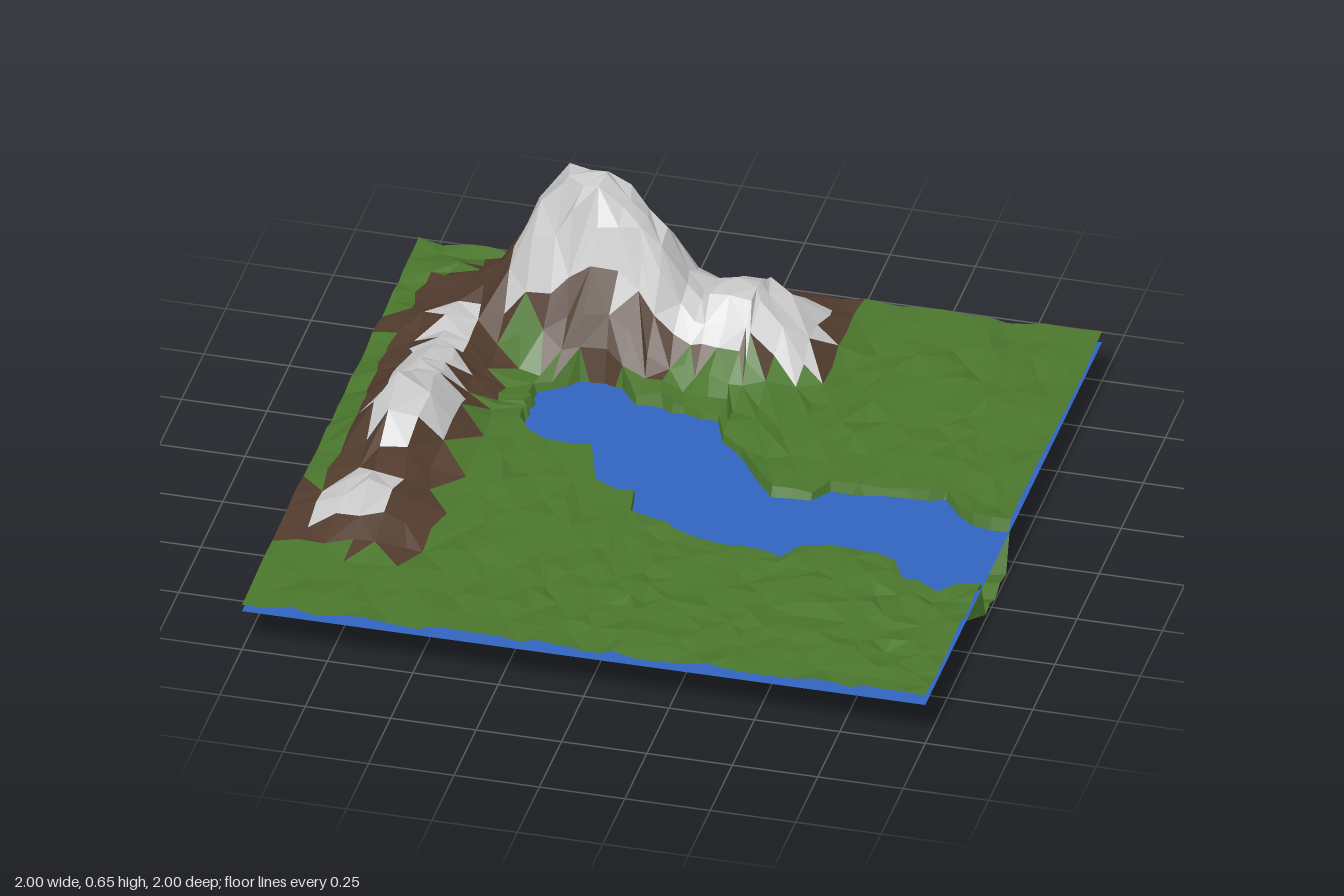
import * as THREE from 'three';

const GROUND = 0.165, WATER = 0.135, BED = 0.02;

// River columns: x, north shore z, south shore z
const river = [
  [-0.49, -0.31, -0.18], [-0.44, -0.35, -0.12], [-0.38, -0.42, -0.08], [-0.31, -0.43, -0.08],
  [-0.25, -0.42, -0.07], [-0.19, -0.34, 0.11], [-0.13, -0.33, 0.12], [-0.08, -0.32, 0.13],
  [-0.05, -0.32, 0.23], [0, -0.31, 0.25], [0.06, -0.3, 0.28], [0.09, -0.19, 0.3],
  [0.16, -0.13, 0.3], [0.24, -0.02, 0.31], [0.3, 0.05, 0.31], [0.36, 0.05, 0.33],
  [0.41, 0.04, 0.34], [0.46, -0.02, 0.28], [0.53, -0.03, 0.26], [0.61, -0.03, 0.25],
  [0.68, -0.04, 0.27], [0.73, -0.05, 0.3], [0.78, -0.05, 0.37], [0.83, 0.01, 0.39],
  [0.89, 0.05, 0.42], [0.94, 0.07, 0.4], [1, 0.06, 0.35],
];

// Mountain profiles: position, height above ground (or 0..1 for cross-sections)
const backRidge = [[-0.95, 0], [-0.8, 0.05], [-0.67, 0.14], [-0.6, 0.32], [-0.52, 0.49], [-0.36, 0.49],
  [-0.28, 0.4], [-0.2, 0.33], [-0.13, 0.2], [-0.1, 0.17], [0.08, 0.19], [0.15, 0.14], [0.22, 0.08], [0.3, 0.02], [0.35, 0]];
const backCross = [[-1, 0], [-0.95, 0.1], [-0.87, 0.45], [-0.8, 0.85], [-0.75, 1], [-0.63, 1], [-0.55, 0.55], [-0.46, 0.17], [-0.41, 0]];
const sideRidge = [[-0.95, 0], [-0.7, 0.06], [-0.55, 0.1], [-0.38, 0.09], [-0.25, 0.12], [-0.1, 0.165], [-0.02, 0.19],
  [0.07, 0.24], [0.12, 0.21], [0.2, 0.11], [0.3, 0.07], [0.45, 0.1], [0.5, 0.075], [0.58, 0.02], [0.66, 0]];
const sideCross = [[-1, 0], [-0.93, 0.15], [-0.85, 0.58], [-0.79, 1], [-0.73, 1], [-0.65, 0.4], [-0.6, 0.15], [-0.54, 0]];
const sideSnow = [[-0.58, 0.05], [-0.4, 0.07], [-0.2, 0.08], [0.03, 0.14], [0.1, 0.09], [0.22, 0.04]];

// Piecewise linear lookup
function sample(points, t) {
  if (t <= points[0][0]) return points[0][1];
  for (let i = 1; i < points.length; i++) {
    const [a, va] = points[i - 1], [b, vb] = points[i];
    if (t <= b) return va + (vb - va) * (t - a) / (b - a);
  }
  return points[points.length - 1][1];
}

let seed = 7;
function jitter(amount) {
  seed = (seed * 16807) % 2147483647;
  return (seed / 2147483647 * 2 - 1) * amount;
}

const mountainHeight = (x, z) => Math.max(
  sample(backRidge, x) * sample(backCross, z),
  sample(sideRidge, z) * sample(sideCross, x));

// Which surface covers a spot of the land
function surfaceAt(x, z) {
  const backSnow = x > -0.65 && x < 0.26 && z > -0.9 && z < -0.54;
  const spineSnow = z > -0.57 && z < 0.21 && Math.abs(x + 0.76) < sample(sideSnow, z);
  const frontSnow = z > 0.32 && z < 0.55 && x > -0.9 && x < -0.7;
  if (backSnow || spineSnow || frontSnow) return 'snow';
  const southEdge = x > -0.5 && x < -0.15 ? -0.42 : -0.49 - Math.max(0, x) * 0.2;
  const backRock = z < southEdge && x < 0.32 && x > -0.72 - (z + 1) * 0.6;
  const sideRock = z > -0.8 && z < 0.65 && x < -0.59 && x > (z > 0.35 ? -1 : -0.94);
  return backRock || sideRock ? 'rock' : 'grass';
}

// Grid of land points whose rows bend along the river banks
function landColumns() {
  const columns = [];
  for (let i = 0; i < 7; i++) columns.push([-1 + i * 0.073, -0.34 + i * 0.004, 0.02 - i * 0.025]);
  columns.push(...river);
  const northRows = 11, southRows = 11, bedParts = 4, bank = 0.025;
  return columns.map(([x, north, south]) => {
    const points = [];
    const add = (z, inBed) => {
      const edgeX = Math.abs(x) > 0.99, edgeZ = Math.abs(z) > 0.99;
      const isMiddle = !edgeX && x < -0.5;
      const px = edgeX ? x : x + jitter(isMiddle ? 0.014 : 0.009);
      const pz = edgeZ ? z : z + jitter(inBed ? 0.008 : 0.013);
      const carved = inBed && x > -0.46;
      const y = carved ? BED + jitter(0.013)
        : GROUND + mountainHeight(px, pz) * (1 + jitter(0.03)) + jitter(0.01);
      points.push(new THREE.Vector3(px, Math.max(0, y), pz));
    };
    const top = north - bank, bottom = south + bank;
    for (let j = 0; j <= northRows; j++) add(-1 + (top + 1) * j / northRows, false);
    for (let j = 0; j <= bedParts; j++) {
      add(THREE.MathUtils.lerp(north + bank, south - bank, j / bedParts), true);
    }
    for (let j = 0; j <= southRows; j++) add(bottom + (1 - bottom) * j / southRows, false);
    return points;
  });
}

export function createModel() {
  const group = new THREE.Group();
  const faces = { grass: [], rock: [], snow: [] };
  const colors = { grass: 0x4b772d, rock: 0x523c2e, snow: 0xcccccc };

  // Sort the land's triangles by surface
  const columns = landColumns();
  const addFace = (...corners) => {
    const x = (corners[0].x + corners[1].x + corners[2].x) / 3;
    const z = (corners[0].z + corners[1].z + corners[2].z) / 3;
    const target = faces[surfaceAt(x, z)];
    for (const p of corners) target.push(p.x, p.y, p.z);
  };
  for (let i = 0; i < columns.length - 1; i++) {
    for (let j = 0; j < columns[i].length - 1; j++) {
      const a = columns[i][j], b = columns[i][j + 1];
      const c = columns[i + 1][j + 1], d = columns[i + 1][j];
      if ((i + j) % 2) { addFace(a, b, d); addFace(b, c, d); }
      else { addFace(a, b, c); addFace(a, c, d); }
    }
  }

  // Grass land with riverbed, rocky slopes and snowy peaks
  for (const name of Object.keys(faces)) {
    const geometry = new THREE.BufferGeometry();
    geometry.setAttribute('position', new THREE.Float32BufferAttribute(faces[name], 3));
    geometry.computeVertexNormals();
    const mesh = new THREE.Mesh(geometry, new THREE.MeshStandardMaterial({
      color: colors[name], flatShading: true, side: THREE.DoubleSide,
    }));
    mesh.name = name;
    group.add(mesh);
  }

  // Water sheet under the whole land, showing in the river
  const water = new THREE.Mesh(
    new THREE.PlaneGeometry(2, 2).rotateX(-Math.PI / 2),
    new THREE.MeshStandardMaterial({ color: 0x3264c0, side: THREE.DoubleSide }));
  water.position.y = WATER;
  water.name = 'water';
  group.add(water);
  return group;
}
